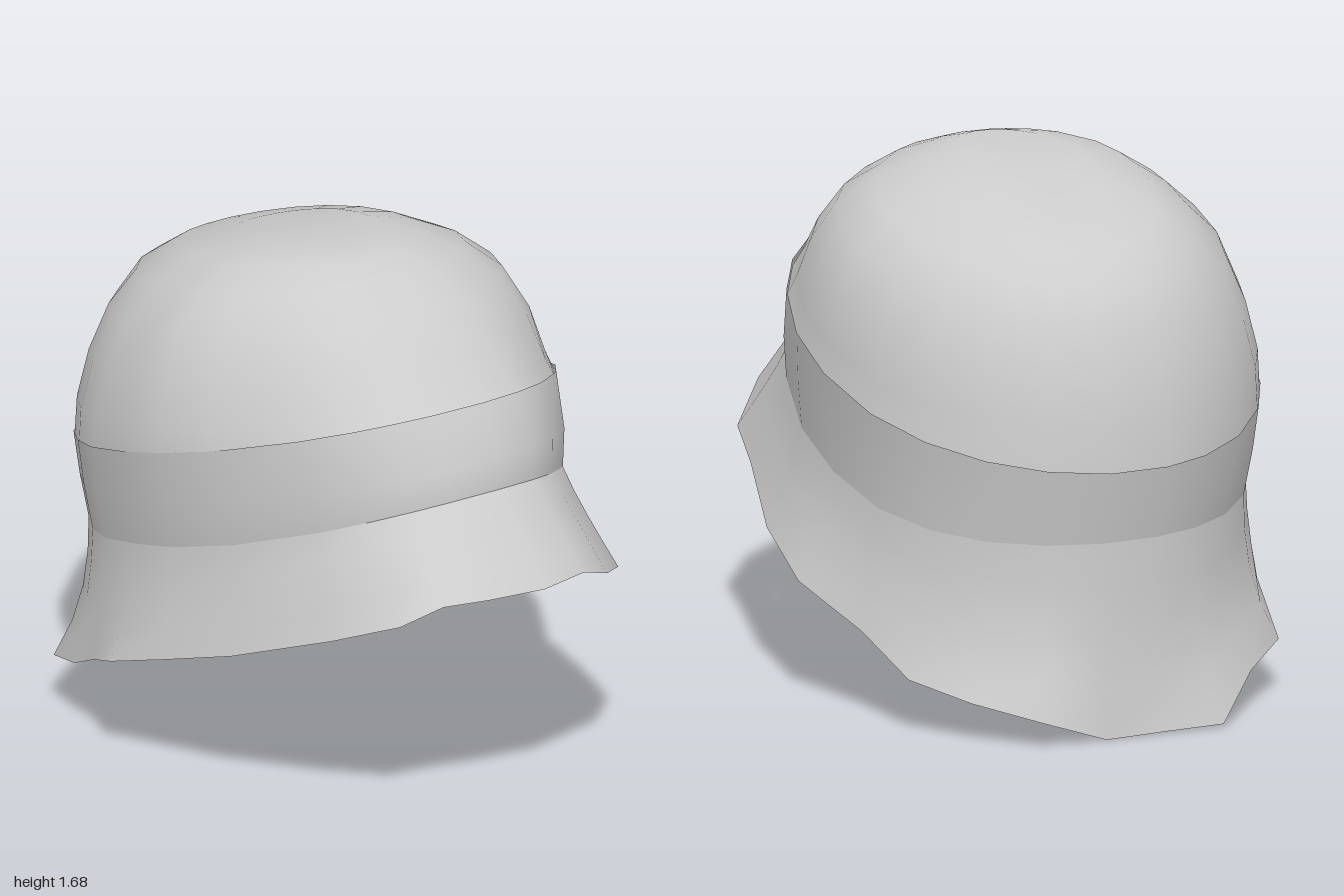
import * as THREE from 'three';

// Wavy lower edge of the brim, [x, y, z], going from the left side round the front
const RIM = [
  [0.77, 0.40, -0.14], [0.71, 0.49, 0.17], [0.60, 0.61, 0.47], [0.52, 0.665, 0.70],
  [0.34, 0.75, 0.89], [0.20, 0.81, 0.96], [0.02, 0.81, 1.00], [-0.18, 0.81, 0.97],
  [-0.32, 0.81, 0.935], [-0.44, 0.75, 0.87], [-0.54, 0.65, 0.64], [-0.66, 0.51, 0.28],
  [-0.72, 0.42, 0.00], [-0.77, 0.36, -0.20], [-0.69, 0.28, -0.40], [-0.655, 0.21, -0.55],
  [-0.61, 0.17, -0.72], [-0.43, 0.13, -0.87], [-0.26, 0.01, -1.00], [-0.08, 0.005, -0.975],
  [0.13, 0.00, -0.955], [0.36, 0.085, -0.96], [0.52, 0.13, -0.80], [0.645, 0.18, -0.62],
  [0.69, 0.29, -0.40],
];
const MID_Z = -0.2;

// Egg-shaped parameter angle of each rim point, shared by all rings
const ANGLES = RIM.map(([x, , z]) => Math.atan2((z - MID_Z) / (z > MID_Z ? 1.2 : 0.8), x / 0.77));

// Tilted egg ring: front and back [z, y], right x, left x, height at the sides
function ring([fz, fy], [bz, by], xRight, xLeft, ySide) {
  return ANGLES.map((a) => {
    const c = Math.cos(a), s = Math.sin(a);
    const slope = (fy - by) / 2, bow = (fy + by) / 2 - ySide;
    return [
      c * (c > 0 ? xLeft : -xRight),
      ySide + slope * s + bow * s * s,
      MID_Z + ((s > 0 ? fz : bz) - MID_Z) * Math.abs(s),
    ];
  });
}

// Smooth skin over a stack of rings, bottom to top, with an optional closing point
function skin(rings, apex) {
  const n = RIM.length, index = [];
  const points = rings.flat();
  for (let r = 0; r < rings.length - 1; r++) {
    for (let i = 0; i < n; i++) {
      const a = r * n + i, b = r * n + (i + 1) % n;
      index.push(a, a + n, b, b, a + n, b + n);
    }
  }
  if (apex) {
    const top = (rings.length - 1) * n;
    for (let i = 0; i < n; i++) index.push(top + i, points.length, top + (i + 1) % n);
    points.push(apex);
  }
  const g = new THREE.BufferGeometry();
  g.setAttribute('position', new THREE.Float32BufferAttribute(points.flat(), 3));
  g.setIndex(index);
  g.computeVertexNormals();
  return g;
}

export function createModel() {
  const felt = new THREE.MeshStandardMaterial({ color: 0xcccccc, side: THREE.DoubleSide });
  felt.name = 'grey felt';
  const hat = new THREE.Group();
  hat.name = 'clocheHat';
  const add = (name, geometry) => {
    const mesh = new THREE.Mesh(geometry, felt);
    mesh.name = name;
    hat.add(mesh);
  };

  const crease = ring([0.77, 1.07], [-0.93, 0.62], -0.67, 0.655, 0.73);
  const bandMid = ring([0.762, 1.17], [-0.955, 0.74], -0.70, 0.67, 0.89);
  const bandTop = ring([0.68, 1.33], [-0.98, 0.855], -0.715, 0.69, 1.05);

  // Brim: flares from the crease to the rim, later and more sharply at the back
  const brim = [1, 0.75, 0.5, 0.25, 0].map((t) => crease.map((p, i) => {
    const q = RIM[i];
    const s = Math.sin(ANGLES[i]);
    const flare = Math.pow(t, 1.5 - 0.5 * s + (s < -0.6 ? 0.8 : 0));
    return [
      p[0] + (q[0] - p[0]) * flare,
      p[1] + (q[1] - p[1]) * t,
      p[2] + (q[2] - p[2]) * flare,
    ];
  }));
  add('brim', skin(brim));

  // Turned-up band
  add('band', skin([crease, bandMid, bandTop]));

  // Crown: set just inside the band's edge, rounded, falling gently to the back
  add('crown', skin([
    ring([0.685, 1.31], [-0.975, 0.84], -0.713, 0.686, 1.03),
    ring([0.635, 1.35], [-0.96, 1.00], -0.71, 0.665, 1.13),
    ring([0.53, 1.46], [-0.93, 1.15], -0.67, 0.645, 1.28),
    ring([0.43, 1.55], [-0.88, 1.28], -0.60, 0.57, 1.44),
    ring([0.30, 1.625], [-0.82, 1.40], -0.50, 0.46, 1.53),
    ring([0.20, 1.66], [-0.70, 1.485], -0.38, 0.30, 1.61),
    ring([0.11, 1.685], [-0.50, 1.56], -0.22, 0.16, 1.645),
  ], [-0.04, 1.64, -0.2]));

  return hat;
}
